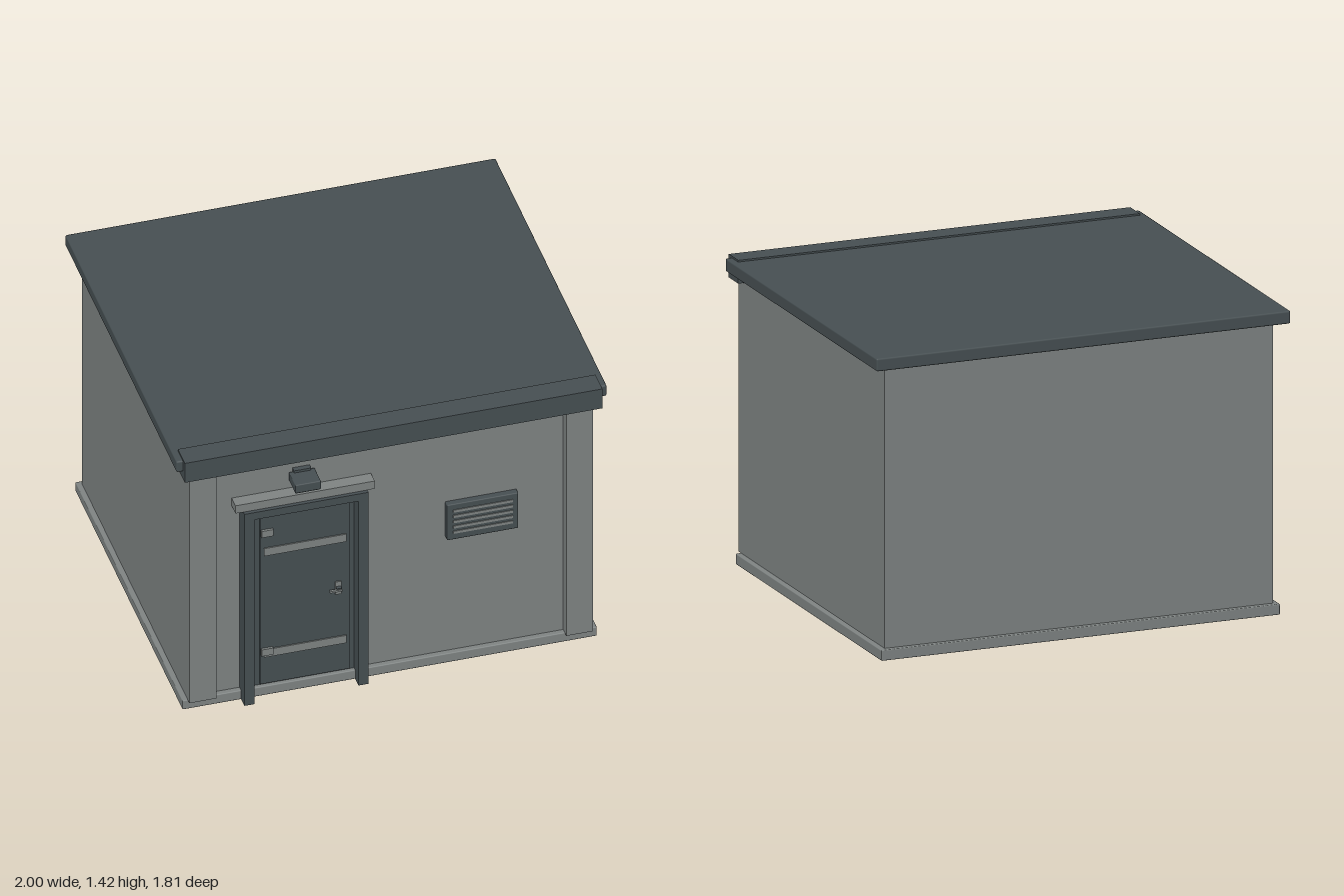
import * as THREE from 'three';
import { RoundedBoxGeometry } from 'three/addons/geometries/RoundedBoxGeometry.js';

const concrete = new THREE.MeshStandardMaterial({ color: 0x808584 });
concrete.name = 'concrete grey';
const slate = new THREE.MeshStandardMaterial({ color: 0x475053 });
slate.name = 'dark slate';

export function createModel() {
  const model = new THREE.Group();
  model.name = 'utilityHut';

  // Box from its minimum and maximum on each axis, optionally with softened edges
  function box(parent, name, material, [x0, x1], [y0, y1], [z0, z1], bevel = 0) {
    const size = [x1 - x0, y1 - y0, z1 - z0];
    const geometry = bevel
      ? new RoundedBoxGeometry(...size, 1, bevel)
      : new THREE.BoxGeometry(...size);
    const mesh = new THREE.Mesh(geometry, material);
    mesh.name = name;
    mesh.position.set((x0 + x1) / 2, (y0 + y1) / 2, (z0 + z1) / 2);
    parent.add(mesh);
    return mesh;
  }
  function group(name) {
    const g = new THREE.Group();
    g.name = name;
    model.add(g);
    return g;
  }

  // Plinth, walls and front corner pilasters
  box(model, 'plinth', concrete, [-0.963, 0.963], [0, 0.05], [-0.87, 0.815], 0.005);
  box(model, 'walls', concrete, [-0.938, 0.938], [0.04, 1.36], [-0.845, 0.79]);
  box(model, 'leftPilaster', concrete, [0.813, 0.938], [0.05, 1.36], [0.785, 0.84]);
  box(model, 'rightPilaster', concrete, [-0.938, -0.813], [0.05, 1.36], [0.785, 0.84]);

  // Roof slab with a deeper fascia along the front
  box(model, 'roofSlab', slate, [-1, 1], [1.355, 1.415], [-0.905, 0.846], 0.008);
  box(model, 'frontFascia', slate, [-0.97, 0.97], [1.315, 1.423], [0.766, 0.876]);

  // Door surround
  const surround = group('doorSurround');
  box(surround, 'leftJamb', slate, [-0.16, -0.113], [0, 1.07], [0.785, 0.865]);
  box(surround, 'rightJamb', slate, [-0.69, -0.643], [0, 1.07], [0.785, 0.865]);
  box(surround, 'headFrame', slate, [-0.643, -0.16], [1.03, 1.07], [0.785, 0.865]);
  box(surround, 'frameLiner', slate, [-0.643, -0.16], [0.05, 1.03], [0.785, 0.796]);
  box(surround, 'lintel', concrete, [-0.727, -0.08], [1.072, 1.115], [0.785, 0.85]);

  // Door leaf with kick bands, hinges and handle
  const door = group('door');
  box(door, 'doorLeaf', slate, [-0.6, -0.182], [0.06, 1.028], [0.79, 0.808]);
  for (const y of [0.21, 0.776]) {
    box(door, 'doorBand', concrete, [-0.583, -0.2], [y, y + 0.042], [0.805, 0.814]);
  }
  for (const y of [0.223, 0.885]) {
    box(door, 'hinge', concrete, [-0.596, -0.542], [y, y + 0.036], [0.805, 0.82]);
  }
  box(door, 'handlePlate', concrete, [-0.252, -0.225], [0.49, 0.56], [0.805, 0.814]);
  box(door, 'handleStem', slate, [-0.25, -0.227], [0.517, 0.535], [0.81, 0.832]);
  box(door, 'handleLever', concrete, [-0.284, -0.227], [0.52, 0.53], [0.825, 0.837]);

  // Wall lamp above the door
  const lamp = group('wallLamp');
  box(lamp, 'lampMount', slate, [-0.445, -0.365], [1.13, 1.224], [0.785, 0.815]);
  box(lamp, 'lampHood', slate, [-0.465, -0.345], [1.165, 1.212], [0.8, 0.905], 0.005);
  box(lamp, 'lampLens', slate, [-0.455, -0.355], [1.155, 1.168], [0.8, 0.89]);

  // Louvred vent
  const vent = group('vent');
  box(vent, 'ventFrame', slate, [0.265, 0.597], [0.685, 0.882], [0.785, 0.82], 0.005);
  for (let i = 0; i < 5; i++) {
    const y = 0.72 + i * 0.0295;
    box(vent, 'ventSlat', concrete, [0.293, 0.57], [y, y + 0.014], [0.815, 0.824]);
  }

  return model;
}
